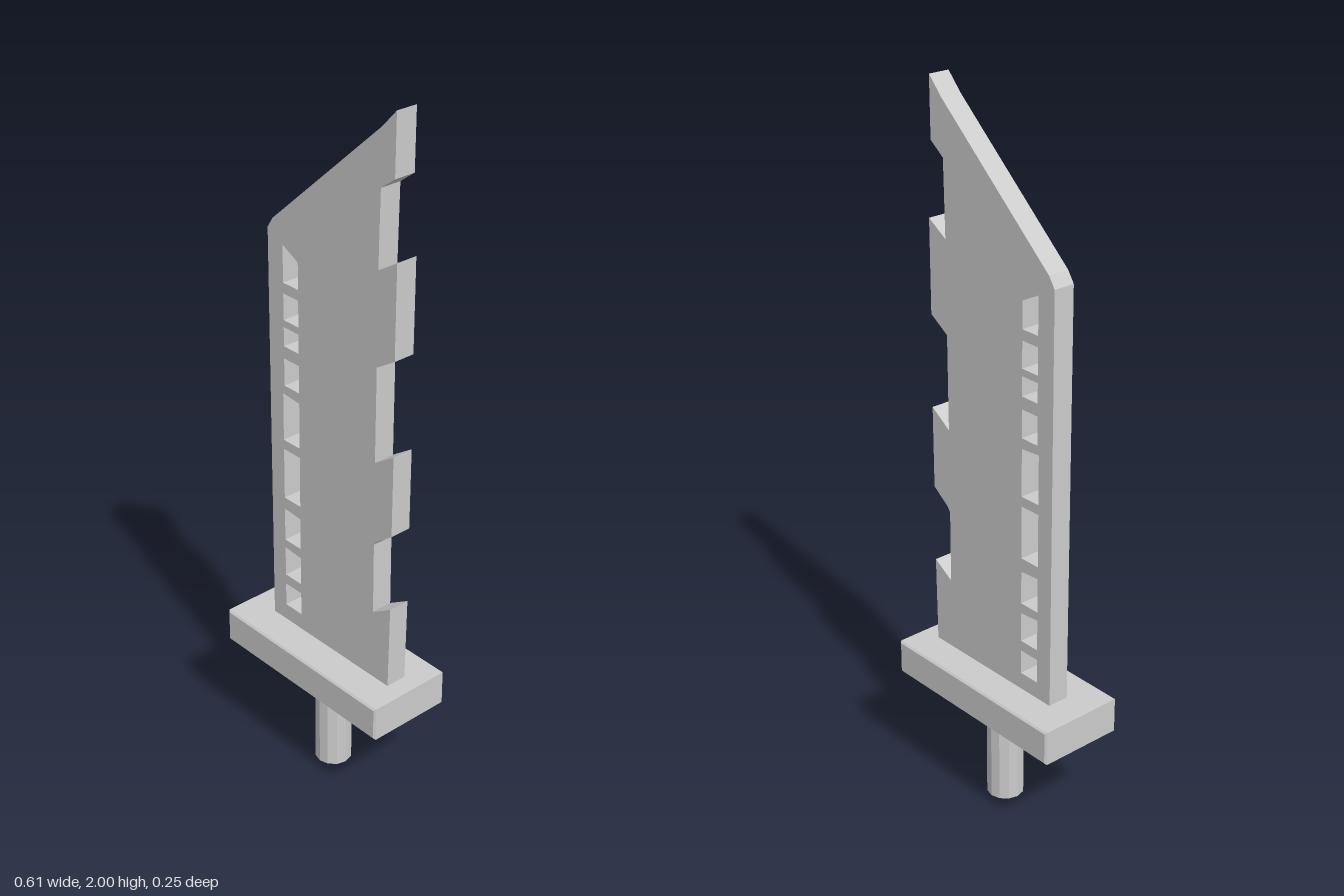
import * as THREE from 'three';

const material = new THREE.MeshStandardMaterial({ color: 0xcccccc, flatShading: true });
const points = (list) => list.map(([x, y]) => new THREE.Vector2(x, y));

// Notched slab with a slanted tip and a column of windows
function createBlade() {
  const outline = new THREE.Shape(points([
    [-0.215, 0.39], [0.25, 0.39],
    [0.255, 0.645], [0.19, 0.605], [0.19, 0.815], [0.2, 0.83], [0.255, 0.87],
    [0.257, 1.105], [0.19, 1.06], [0.192, 1.33], [0.255, 1.37],
    [0.257, 1.63], [0.193, 1.59], [0.198, 1.8], [0.245, 1.835],
    [0.247, 2.0], [0.2, 1.95], [-0.195, 1.6], [-0.215, 1.57],
  ]));

  // Windows: bottom, top at the left, top at the right
  const windows = [
    [0.445, 0.515, 0.515], [0.545, 0.635, 0.63], [0.66, 0.76, 0.755],
    [0.795, 0.947, 0.947], [0.975, 1.115, 1.11], [1.14, 1.22, 1.22],
    [1.255, 1.31, 1.31], [1.33, 1.405, 1.405], [1.435, 1.54, 1.51],
  ];
  for (const [low, topLeft, topRight] of windows) {
    const left = low < 1.1 ? -0.164 : -0.158;
    outline.holes.push(new THREE.Path(points([
      [left, low], [left, topLeft], [-0.1, topRight], [-0.1, low],
    ])));
  }

  const geometry = new THREE.ExtrudeGeometry(outline, { depth: 0.062, bevelEnabled: false });
  geometry.translate(0, 0, -0.032);
  return geometry;
}

// Rectangular block with small chamfers on every edge
function createGuard(width, height, depth, chamfer) {
  const x = width / 2 - chamfer;
  const y = height / 2 - chamfer;
  const face = new THREE.Shape(points([[-x, -y], [x, -y], [x, y], [-x, y]]));
  const geometry = new THREE.ExtrudeGeometry(face, {
    depth: depth - 2 * chamfer,
    bevelThickness: chamfer,
    bevelSize: chamfer,
    bevelSegments: 1,
  });
  geometry.translate(0, 0, chamfer - depth / 2);
  return geometry;
}

export function createModel() {
  const model = new THREE.Group();
  model.name = 'sword';
  const add = (name, geometry, y = 0) => {
    const mesh = new THREE.Mesh(geometry, material);
    mesh.name = name;
    mesh.position.y = y;
    model.add(mesh);
  };

  add('blade', createBlade());
  add('guard', createGuard(0.61, 0.1, 0.254, 0.005), 0.346);
  add('handle', new THREE.CylinderGeometry(0.052, 0.052, 0.3, 12), 0.15);
  return model;
}
